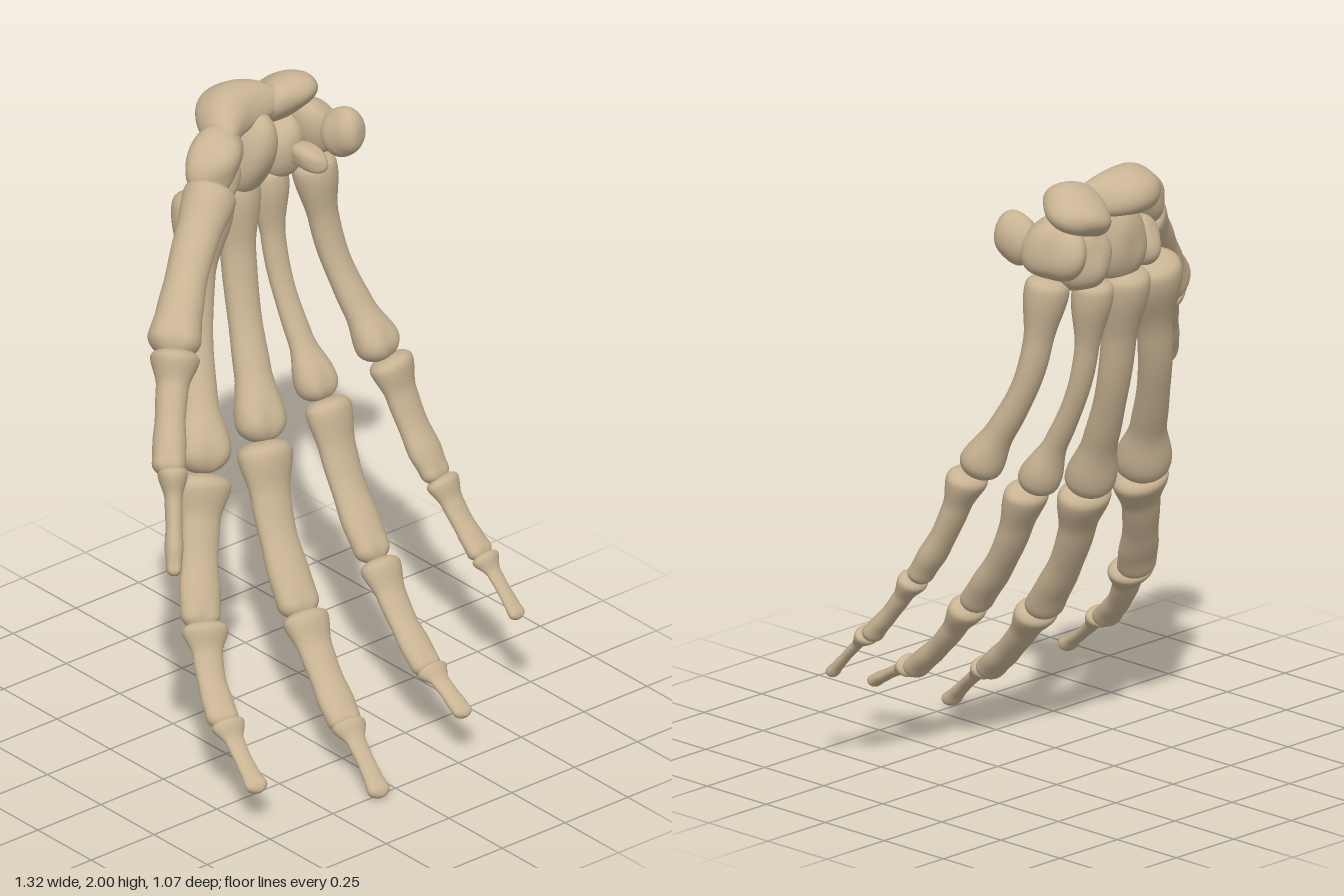
import * as THREE from 'three';
import { mergeVertices } from 'three/addons/utils/BufferGeometryUtils.js';

const bone = new THREE.MeshStandardMaterial({ color: 0xc8b393 });
bone.name = 'bone';
const V = (a) => new THREE.Vector3(...a);

// Smooth interpolation through [t, value] stations
function sample(stations, t) {
  for (let i = 1; i < stations.length; i++) {
    const [t0, a] = stations[i - 1], [t1, b] = stations[i];
    if (t <= t1) return THREE.MathUtils.lerp(a, b, THREE.MathUtils.smoothstep(t, t0, t1));
  }
  return stations[stations.length - 1][1];
}

// Long bone: rounded rings swept along a curve, flared base, thin shaft, knuckled head
function longBone(points, [base, waist, head], depth, lateral) {
  const curve = new THREE.CatmullRomCurve3(points.map(V));
  const length = curve.getLength();
  const widths = [[0, base * 0.95], [0.07, base], [0.31, waist * 1.06], [0.55, waist],
    [0.74, waist * 1.1], [0.91, head], [1, head * 0.95]];
  const rings = 44, sides = 28, pos = [], index = [];
  const baseCap = Math.min(0.25, base * 0.45 / length), headCap = Math.min(0.3, head * 0.75 / length);
  for (let i = 0; i <= rings; i++) {
    const t = (1 - Math.cos(Math.PI * i / rings)) / 2;
    const c = curve.getPointAt(t), T = curve.getTangentAt(t);
    const S = lateral.clone().addScaledVector(T, -lateral.dot(T)).normalize();
    const N = T.clone().cross(S);
    // domed ends
    const u = Math.max(0, 1 - t / baseCap), v = Math.max(0, 1 - (1 - t) / headCap);
    const cap = Math.pow(1 - Math.pow(u, 2.5), 0.4) * Math.sqrt(1 - v * v);
    const w = sample(widths, t) * cap;
    const condyle = THREE.MathUtils.smoothstep(t, 0.78, 0.95);
    const rim = 1 - THREE.MathUtils.smoothstep(t, 0.06, 0.28);
    const d = w * (depth + 0.12 * condyle + 0.1 * rim);
    for (let j = 0; j < sides; j++) {
      const a = j / sides * Math.PI * 2, s = Math.sin(a), x = Math.cos(a);
      // flat palm side, with a groove between the two lobes of the head
      const palm = s > 0 ? 0.88 - 0.2 * condyle * Math.pow(s, 8) : 1;
      pos.push(...c.clone().addScaledVector(S, w * x).addScaledVector(N, d * s * palm).toArray());
      if (i < rings) {
        const k = i * sides + j, l = i * sides + (j + 1) % sides;
        index.push(k, l, k + sides, l, l + sides, k + sides);
      }
    }
  }
  const g = new THREE.BufferGeometry();
  g.setAttribute('position', new THREE.Float32BufferAttribute(pos, 3));
  g.setIndex(index);
  g.computeVertexNormals();
  return g;
}

// Wrist bone: slightly blocky ellipsoid with gentle hollows
function pebble(radii, seed, bend) {
  let g = new THREE.IcosahedronGeometry(1, 14);
  g.deleteAttribute('uv');
  g.deleteAttribute('normal');
  g = mergeVertices(g, 1e-4);
  const p = g.attributes.position, v = new THREE.Vector3();
  for (let i = 0; i < p.count; i++) {
    v.fromBufferAttribute(p, i).normalize();
    const { x, y, z } = v;
    const block = Math.pow(Math.abs(x) ** 2.25 + Math.abs(y) ** 2.25 + Math.abs(z) ** 2.25, -1 / 2.25);
    const lump = 1 + 0.07 * Math.sin(3 * x + seed) * Math.cos(2.6 * y - seed * 2)
      + 0.06 * Math.sin(3.4 * z + 2 * y + seed * 3);
    v.multiplyScalar(block * lump).multiply(radii);
    const q = (v.x / radii.x) ** 2 * bend;
    v.z += q;
    v.y -= q * 0.5;
    p.setXYZ(i, v.x, v.y, v.z);
  }
  g.computeVertexNormals();
  return g;
}

// Each digit lists its bones from wrist to tip: path points, then [base, shaft, head] half-widths
const fingerDepths = [0.87, 0.7, 0.68, 0.62];
const digits = {
  thumb: { lateral: [0.75, 0, 0.6], depths: [1.06, 1.18, 1.5], bones: [
    [[[-0.06, 1.78, -0.285], [-0.23, 1.625, -0.19], [-0.42, 1.405, -0.06]], [0.083, 0.065, 0.083]],
    [[[-0.395, 1.425, -0.065], [-0.475, 1.28, 0.005], [-0.565, 1.11, 0.1]], [0.076, 0.047, 0.052]],
    [[[-0.545, 1.14, 0.095], [-0.59, 1.0, 0.155], [-0.645, 0.845, 0.22]], [0.046, 0.026, 0.024]]] },
  indexFinger: { lateral: [1, -0.1, 0.25], depths: fingerDepths, bones: [
    [[[0.02, 1.68, -0.42], [-0.065, 1.3, -0.36], [-0.19, 0.875, -0.175]], [0.098, 0.054, 0.09]],
    [[[-0.2, 0.885, -0.165], [-0.275, 0.69, -0.095], [-0.365, 0.475, 0.015]], [0.092, 0.06, 0.064]],
    [[[-0.355, 0.505, 0.02], [-0.405, 0.37, 0.11], [-0.447, 0.255, 0.23]], [0.076, 0.046, 0.052]],
    [[[-0.44, 0.28, 0.22], [-0.455, 0.2, 0.31], [-0.472, 0.12, 0.42]], [0.056, 0.029, 0.037]]] },
  middleFinger: { lateral: [1, 0, 0.05], depths: fingerDepths, bones: [
    [[[0.155, 1.68, -0.445], [0.13, 1.28, -0.37], [0.067, 0.885, -0.195]], [0.085, 0.055, 0.082]],
    [[[0.055, 0.9, -0.185], [0.02, 0.66, -0.085], [-0.008, 0.415, 0.075]], [0.092, 0.064, 0.07]],
    [[[-0.005, 0.44, 0.07], [-0.025, 0.3, 0.185], [-0.055, 0.155, 0.345]], [0.077, 0.055, 0.056]],
    [[[-0.05, 0.185, 0.325], [-0.065, 0.105, 0.425], [-0.08, 0.01, 0.53]], [0.058, 0.03, 0.038]]] },
  ringFinger: { lateral: [1, 0, -0.05], depths: fingerDepths, bones: [
    [[[0.28, 1.67, -0.435], [0.285, 1.32, -0.38], [0.305, 0.945, -0.2]], [0.068, 0.039, 0.07]],
    [[[0.305, 0.96, -0.185], [0.297, 0.73, -0.085], [0.287, 0.505, 0.075]], [0.08, 0.061, 0.062]],
    [[[0.288, 0.52, 0.075], [0.28, 0.375, 0.19], [0.272, 0.235, 0.345]], [0.07, 0.049, 0.051]],
    [[[0.272, 0.26, 0.335], [0.271, 0.215, 0.42], [0.27, 0.16, 0.515]], [0.055, 0.03, 0.033]]] },
  littleFinger: { lateral: [1, 0.1, -0.25], depths: fingerDepths, bones: [
    [[[0.4, 1.69, -0.36], [0.445, 1.36, -0.315], [0.515, 1.035, -0.15]], [0.075, 0.05, 0.075]],
    [[[0.52, 1.05, -0.145], [0.545, 0.85, -0.07], [0.572, 0.665, 0.035]], [0.08, 0.056, 0.052]],
    [[[0.575, 0.685, 0.03], [0.59, 0.57, 0.105], [0.61, 0.455, 0.2]], [0.06, 0.04, 0.046]],
    [[[0.605, 0.475, 0.195], [0.613, 0.4, 0.265], [0.622, 0.305, 0.35]], [0.05, 0.025, 0.03]]] },
};

// Wrist bones: centre, half-sizes, rotation, bend
const wrist = {
  trapezium: [[-0.025, 1.835, -0.325], [0.11, 0.075, 0.082], [0.1, 0.3, 0.6], 0],
  trapezoid: [[0.055, 1.735, -0.405], [0.06, 0.078, 0.078], [0.2, 0, 0.2], 0],
  scaphoid: [[0.13, 1.925, -0.435], [0.16, 0.072, 0.09], [0.1, 0.25, 0.12], 0.065],
  lunate: [[0.335, 1.9, -0.425], [0.108, 0.066, 0.098], [-0.35, -0.3, 0.3], 0.01],
  capitate: [[0.175, 1.775, -0.41], [0.085, 0.14, 0.105], [0.1, 0, -0.05], 0],
  hamate: [[0.315, 1.745, -0.42], [0.085, 0.105, 0.085], [0.1, -0.2, 0.2], 0],
  hamateHook: [[0.335, 1.73, -0.31], [0.037, 0.042, 0.072], [0.1, 0.25, 0], 0],
  triquetrum: [[0.405, 1.785, -0.395], [0.064, 0.098, 0.1], [0.1, 0.35, 0.2], 0],
  pisiform: [[0.438, 1.8, -0.263], [0.054, 0.078, 0.066], [0, 0.3, 0], 0],
};

export function createModel() {
  const hand = new THREE.Group();
  hand.name = 'handSkeleton';

  for (const [name, { lateral, depths, bones }] of Object.entries(digits)) {
    const digit = new THREE.Group();
    digit.name = name;
    const parts = bones.length === 3
      ? ['Metacarpal', 'ProximalPhalanx', 'DistalPhalanx']
      : ['Metacarpal', 'ProximalPhalanx', 'MiddlePhalanx', 'DistalPhalanx'];
    bones.forEach(([path, widths], i) => {
      const mesh = new THREE.Mesh(longBone(path, widths, depths[i], V(lateral)), bone);
      mesh.name = name + parts[i];
      digit.add(mesh);
    });
    hand.add(digit);
  }

  const carpals = new THREE.Group();
  carpals.name = 'wristBones';
  Object.entries(wrist).forEach(([name, [centre, size, turn, bend]], i) => {
    const mesh = new THREE.Mesh(pebble(V(size), i * 1.7 + 0.5, bend), bone);
    mesh.name = name;
    mesh.position.set(...centre);
    mesh.rotation.set(...turn);
    carpals.add(mesh);
  });
  hand.add(carpals);
  return hand;
}
